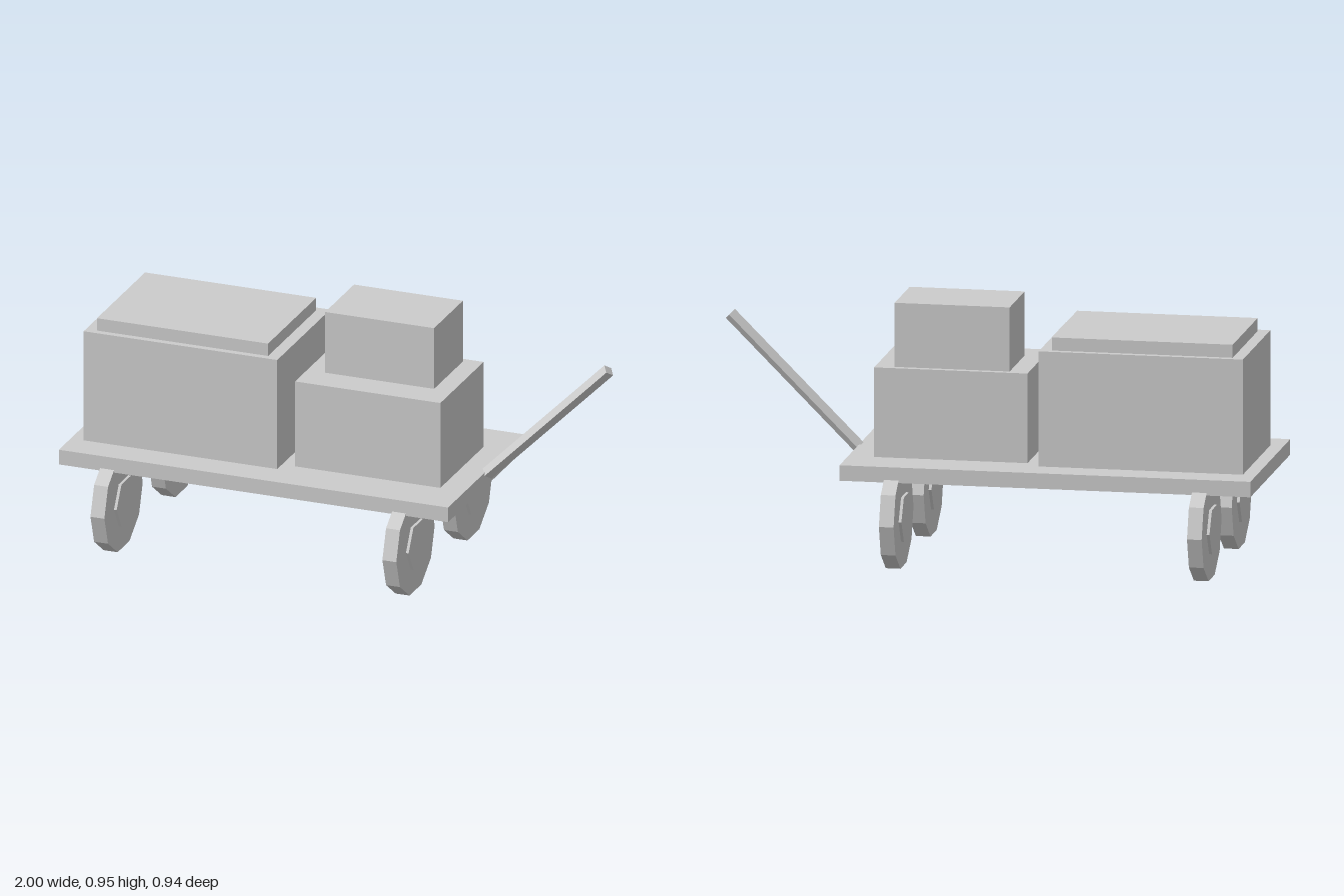
import * as THREE from 'three';

export function createModel() {
  const group = new THREE.Group();
  group.name = 'luggageCart';
  const grey = new THREE.MeshStandardMaterial({ color: 0xcccccc, flatShading: true });
  grey.name = 'light grey';

  function add(name, geometry, parent = group) {
    const mesh = new THREE.Mesh(geometry, grey);
    mesh.name = name;
    parent.add(mesh);
    return mesh;
  }

  // Box given by its limits on each axis
  function block(name, [x0, x1], [y0, y1], [z0, z1]) {
    add(name, new THREE.BoxGeometry(x1 - x0, y1 - y0, z1 - z0))
      .position.set((x0 + x1) / 2, (y0 + y1) / 2, (z0 + z1) / 2);
  }

  // Flat bed and its load
  block('deck', [-1, 0.508], [0.323, 0.38], [-0.377, 0.377]);
  block('largeCase', [-0.95, -0.2], [0.38, 0.804], [-0.26, 0.26]);
  block('largeCaseLid', [-0.908, -0.245], [0.804, 0.852], [-0.236, 0.236]);
  block('mediumCase', [-0.15, 0.413], [0.38, 0.71], [-0.212, 0.212]);
  block('smallCase', [-0.08, 0.342], [0.71, 0.946], [-0.189, 0.094]);

  // Four ten-sided wheels with six-sided hubs
  const tyre = new THREE.CylinderGeometry(0.188, 0.188, 0.054, 10).rotateZ(Math.PI / 2);
  const hub = new THREE.CylinderGeometry(0.094, 0.094, 0.075, 6).rotateZ(Math.PI / 2);
  for (const x of [-0.813, 0.318]) {
    for (const z of [-0.284, 0.284]) {
      const wheel = new THREE.Group();
      wheel.name = 'wheel';
      wheel.position.set(x, 0.179, z);
      add('tyre', tyre, wheel);
      add('hub', hub, wheel);
      group.add(wheel);
    }
  }

  // Slanted square pull bar
  const bar = add('pullBar', new THREE.CylinderGeometry(0.024, 0.024, 0.667, 4));
  bar.position.set(0.746, 0.606, 0);
  bar.rotation.z = -Math.PI / 4;

  return group;
}
